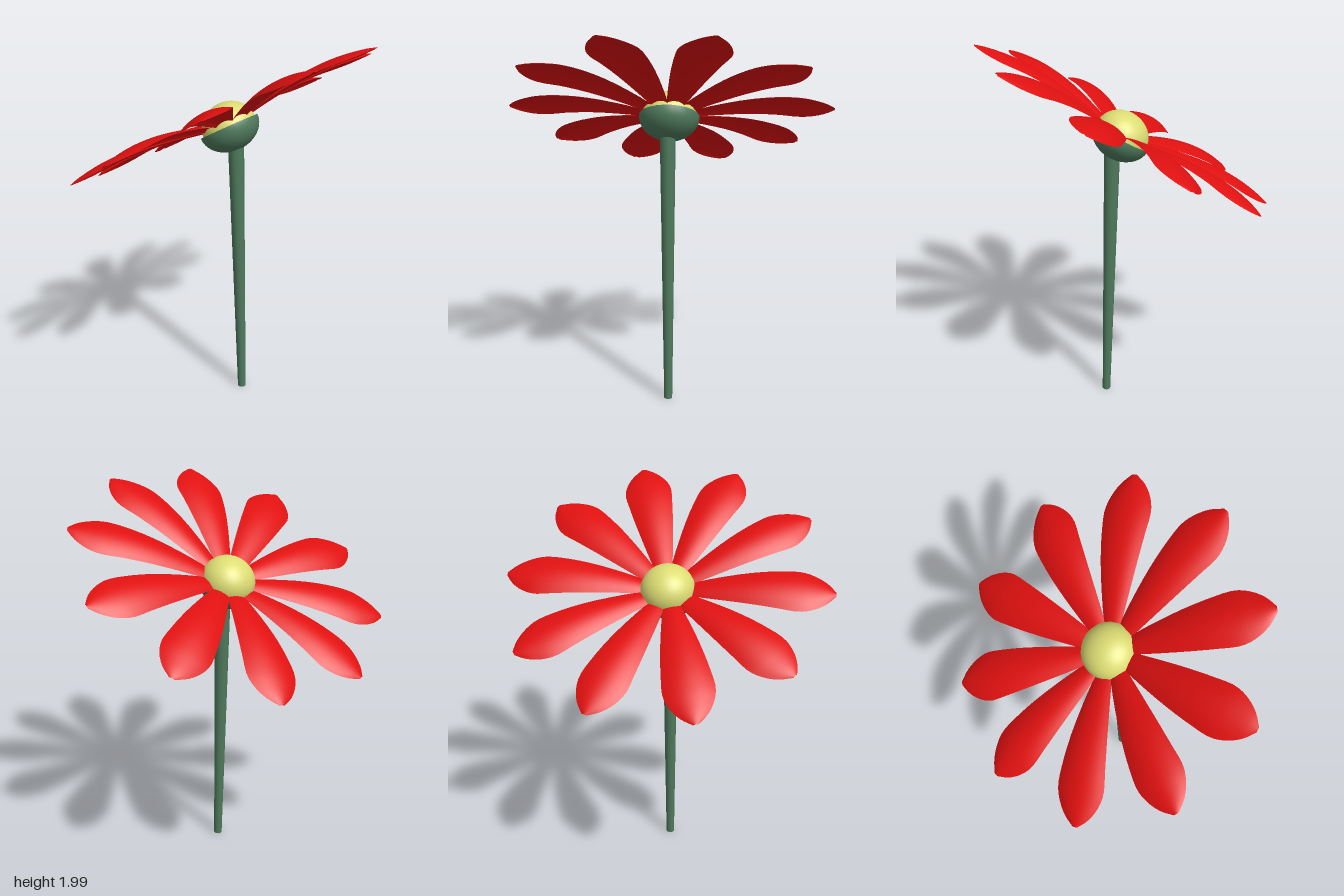
import * as THREE from 'three';

const RED = new THREE.MeshStandardMaterial({ color: 0xe01010, side: THREE.DoubleSide });
const GREEN = new THREE.MeshStandardMaterial({ color: 0x4f7a5c });
const YELLOW = new THREE.MeshStandardMaterial({ color: 0xdcdc74 });

function add(parent, name, geometry, material) {
  const mesh = new THREE.Mesh(geometry, material);
  mesh.name = name;
  parent.add(mesh);
  return mesh;
}

// One petal along +x: spine points hold distance from the axis, height and half width
function petalGeometry() {
  const spine = new THREE.CatmullRomCurve3([
    [0.08, 0.015, 0.035], [0.2, 0.045, 0.06], [0.4, 0.08, 0.095], [0.55, 0.09, 0.115],
    [0.66, 0.085, 0.123], [0.73, 0.075, 0.102], [0.79, 0.063, 0.062], [0.832, 0.05, 0.012],
  ].map((p) => new THREE.Vector3(...p)));
  const geometry = new THREE.PlaneGeometry(1, 2, 20, 10);
  const pos = geometry.attributes.position;
  for (let i = 0; i < pos.count; i++) {
    const p = spine.getPoint(pos.getX(i) + 0.5);
    const u = pos.getY(i);
    // the sides droop from the midline
    const drop = 0.26 * p.z * u * u;
    pos.setXYZ(i, p.x, p.y - drop, -u * p.z);
  }
  geometry.computeVertexNormals();
  return geometry;
}

// Half ellipsoid with its flat side at y = 0
function dome(radius, height) {
  const geometry = new THREE.SphereGeometry(radius, 24, 10, 0, Math.PI * 2, 0, Math.PI / 2);
  return geometry.scale(1, height / radius, 1);
}

export function createModel() {
  const model = new THREE.Group();
  model.name = 'flower';

  // Stem, tapering towards the ground and leaning slightly
  const foot = new THREE.Vector3(0.08, 0, 0.1);
  const top = new THREE.Vector3(0.048, 1.48, 0.063);
  const axis = top.clone().sub(foot);
  const stem = add(model, 'stem', new THREE.CylinderGeometry(0.041, 0.022, axis.length(), 16), GREEN);
  stem.position.copy(foot).add(top).multiplyScalar(0.5);
  stem.quaternion.setFromUnitVectors(new THREE.Vector3(0, 1, 0), axis.normalize());

  // Head, tilted back and to the side
  const head = new THREE.Group();
  head.name = 'flowerHead';
  const up = new THREE.Vector3(-0.34, 1, -0.5).normalize();
  const side = new THREE.Vector3(0.785, 0.26, -0.03).cross(up).normalize();
  const out = up.clone().cross(side);
  head.quaternion.setFromRotationMatrix(new THREE.Matrix4().makeBasis(out, up, side));
  head.position.set(0.025, 1.535, 0.022);
  model.add(head);

  // Green cup under the petals, with a closed top
  add(head, 'calyx', dome(0.155, 0.125).rotateX(Math.PI), GREEN);
  add(head, 'calyxTop', new THREE.CircleGeometry(0.155, 24).rotateX(-Math.PI / 2), GREEN);

  // Yellow centre
  add(head, 'flowerCentre', dome(0.14, 0.125), YELLOW);

  // Ring of petals
  const geometry = petalGeometry();
  for (let i = 0; i < 10; i++) {
    add(head, 'petal' + (i + 1), geometry, RED).rotation.y = (i * Math.PI) / 5;
  }
  return model;
}
